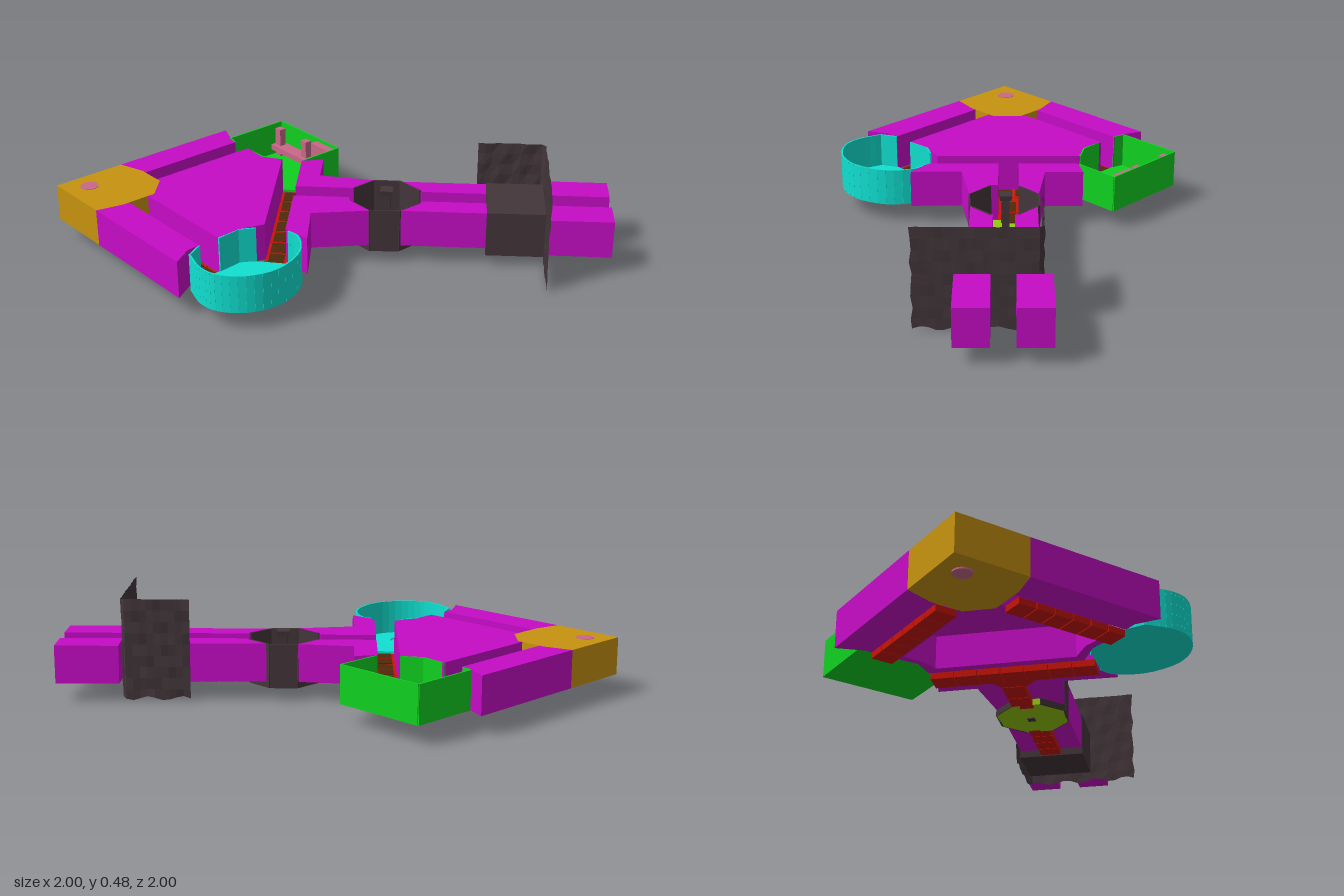
import * as THREE from 'three';

const LOW = 0.09, TOP = 0.27;
const mat = (color) => new THREE.MeshStandardMaterial({ color, flatShading: true, side: THREE.DoubleSide });
const M = {
  magenta: mat(0xc60cc6), gold: mat(0xc79210), green: mat(0x10d020), cyan: mat(0x10e0d0), lime: mat(0x96c810),
  red: mat(0xc81408), brown: mat(0x4f2a08), pink: mat(0xc8688a), dark: mat(0x43363a),
};

function add(parent, name, geometry, material) {
  const mesh = new THREE.Mesh(geometry, material);
  mesh.name = name;
  parent.add(mesh);
  return mesh;
}

// Upright prism from a floor-plan outline of [x, z] points
function prism(parent, name, pts, y0, y1, material, hole) {
  const plan = (list) => list.map(([x, z]) => new THREE.Vector2(x, -z));
  const shape = new THREE.Shape(plan(pts));
  if (hole) shape.holes.push(new THREE.Path(plan(hole)));
  const geo = new THREE.ExtrudeGeometry(shape, { depth: y1 - y0, bevelEnabled: false });
  geo.rotateX(-Math.PI / 2).translate(0, y0, 0);
  return add(parent, name, geo, material);
}

function box(parent, name, x0, x1, y0, y1, z0, z1, material) {
  const geo = new THREE.BoxGeometry(x1 - x0, y1 - y0, z1 - z0);
  geo.translate((x0 + x1) / 2, (y0 + y1) / 2, (z0 + z1) / 2);
  return add(parent, name, geo, material);
}

// Thin upright wall along a floor-plan polyline
function wall(parent, name, pts, y0, y1, material) {
  const group = new THREE.Group();
  group.name = name;
  for (let i = 0; i + 1 < pts.length; i++) {
    const [ax, az] = pts[i], [bx, bz] = pts[i + 1];
    const geo = new THREE.BoxGeometry(Math.hypot(bx - ax, bz - az), y1 - y0, 0.008);
    geo.rotateY(-Math.atan2(bz - az, bx - ax));
    geo.translate((ax + bx) / 2, (y0 + y1) / 2, (az + bz) / 2);
    add(group, name + 'Panel', geo, material);
  }
  parent.add(group);
}

// Row of framed floor tiles running from a to b
function tileRow(parent, name, a, b, count) {
  const row = new THREE.Group();
  row.name = name;
  const len = Math.hypot(b[0] - a[0], b[1] - a[1]), step = len / count;
  row.position.set(a[0], 0, a[1]);
  row.rotation.y = -Math.atan2(b[1] - a[1], b[0] - a[0]);
  for (let i = 0; i < count; i++) {
    const x = i * step;
    box(row, 'tileFrame', x + 0.002, x + step - 0.002, 0.06, LOW, -0.05, 0.05, M.red);
    box(row, 'tileInset', x + 0.01, x + step - 0.01, LOW - 0.01, LOW + 0.003, -0.036, 0.036, M.brown);
  }
  parent.add(row);
}

export function createModel() {
  const model = new THREE.Group();
  model.name = 'floorPlanModel';

  // Central platform: rim open below, closed by a thin top plate
  const centre = [[-0.745, 0.05], [-0.62, 0.06], [-0.53, 0], [-0.03, 0.5], [-0.07, 0.62], [-0.06, 0.735],
    [-0.62, 0.735], [-0.62, 0.7], [-0.72, 0.6], [-0.745, 0.6]];
  const cavity = [[-0.71, 0.09], [-0.6, 0.09], [-0.53, 0.06], [-0.08, 0.51], [-0.11, 0.62], [-0.1, 0.7],
    [-0.58, 0.7], [-0.59, 0.68], [-0.69, 0.57], [-0.71, 0.57]];
  prism(model, 'platformRim', centre, LOW, TOP, M.magenta, cavity);
  prism(model, 'platformTop', cavity, TOP - 0.02, TOP, M.magenta);

  // Bars outside the channels
  prism(model, 'sideBar', [[-1, 0], [-0.88, 0.05], [-0.845, 0.05], [-0.845, 0.6], [-0.87, 0.6], [-1, 0.64]], LOW, TOP, M.magenta);
  prism(model, 'frontBar', [[-0.65, 1], [-0.62, 0.87], [-0.62, 0.84], [-0.06, 0.84], [-0.06, 0.9], [0, 1]], LOW, TOP, M.magenta);
  prism(model, 'backShoulder', [[-0.45, -0.06], [-0.39, -0.15], [-0.26, -0.02], [-0.05, -0.18], [-0.05, -0.05],
    [-0.245, 0.145]], LOW, TOP, M.magenta);
  prism(model, 'sideShoulder', [[0.01, 0.03], [-0.175, 0.215], [0.06, 0.45], [0.1, 0.455], [0.2, 0.44], [0.02, 0.27],
    [0.18, 0.05], [0.04, 0.05]], LOW, TOP, M.magenta);

  // Channel floors
  tileRow(model, 'sideTiles', [-0.795, 0.05], [-0.795, 0.6], 6);
  tileRow(model, 'frontTiles', [-0.6, 0.787], [-0.06, 0.787], 6);
  tileRow(model, 'diagonalTiles', [-0.49, -0.03], [0.04, 0.5], 7);
  tileRow(model, 'branchTiles', [-0.17, 0.14], [0.01, -0.04], 2);
  prism(model, 'junctionTile', [[-0.28, 0.12], [-0.13, 0.09], [-0.12, 0.28]], 0.062, LOW - 0.002, M.red);

  // Corner block with a round pin
  prism(model, 'cornerBlock', [[-1, 1], [-1, 0.64], [-0.87, 0.6], [-0.72, 0.6], [-0.62, 0.7], [-0.62, 0.87], [-0.65, 1]],
    LOW, TOP, M.gold);
  const pin = add(model, 'cornerPin', new THREE.CylinderGeometry(0.043, 0.043, 0.19, 20), M.pink);
  pin.position.set(-0.893, 0.177, 0.885);

  // Open square room with fittings along its back wall
  const room = [[-0.745, 0.055], [-0.62, 0.055], [-0.53, 0], [-0.45, -0.07], [-0.45, -0.295], [-0.905, -0.295],
    [-0.905, 0.04], [-0.845, 0.055]];
  prism(model, 'squareRoomFloor', room, LOW, LOW + 0.012, M.green);
  wall(model, 'squareRoomWall', room.slice(3), LOW, TOP, M.green);
  wall(model, 'squareRoomInnerWall', room.slice(0, 3), LOW, TOP, M.green);
  box(model, 'bench', -0.9, -0.63, 0.13, 0.16, -0.288, -0.22, M.pink);
  for (const x of [-0.87, -0.66]) {
    box(model, 'benchPost', x - 0.02, x + 0.02, 0.1, 0.25, -0.275, -0.24, M.pink);
  }
  box(model, 'cabinet', -0.61, -0.46, 0.15, 0.18, -0.292, -0.21, M.pink);
  box(model, 'cabinetBack', -0.61, -0.46, 0.18, 0.255, -0.292, -0.25, M.pink);

  // Open rounded room
  const curve = new THREE.CatmullRomCurve3([[0.09, 0.46], [0.15, 0.455], [0.27, 0.54], [0.33, 0.71], [0.29, 0.85],
    [0.19, 0.94], [0.1, 0.953], [-0.02, 0.92]].map(([x, z]) => new THREE.Vector3(x, 0, z)));
  const arc = curve.getPoints(28).map((p) => [p.x, p.z]);
  prism(model, 'roundRoomFloor', [...arc, [-0.06, 0.84], [-0.06, 0.735], [-0.07, 0.62], [-0.02, 0.55]], LOW, LOW + 0.012, M.cyan);
  wall(model, 'roundRoomWall', [...arc, [-0.06, 0.84]], LOW, TOP, M.cyan);
  wall(model, 'roundRoomInnerWall', [[-0.06, 0.735], [-0.07, 0.62], [-0.03, 0.55]], LOW, TOP, M.cyan);
  const ring = add(model, 'floorRing', new THREE.TorusGeometry(0.07, 0.008, 6, 24, 5.4).rotateX(-Math.PI / 2), M.cyan);
  ring.position.set(0.12, LOW + 0.012, 0.73);

  // Octagonal hub with a centre post
  const oct = [[0.04, 0.05], [0.18, 0.05], [0.27, -0.05], [0.27, -0.18], [0.18, -0.27], [0.04, -0.27], [-0.05, -0.18], [-0.05, -0.05]];
  prism(model, 'hubFloor', oct, 0.06, LOW, M.lime);
  wall(model, 'hubWall', oct.slice(0, 4), 0.06, TOP, M.dark);
  wall(model, 'hubWall', oct.slice(4), 0.06, TOP, M.dark);
  const post = add(model, 'hubPost', new THREE.CylinderGeometry(0.025, 0.025, 0.22, 4), M.dark);
  post.position.set(0.108, 0.165, -0.12);
  const cap = add(model, 'hubPostCap', new THREE.CylinderGeometry(0.042, 0.036, 0.025, 4), M.dark);
  cap.position.set(0.108, 0.288, -0.12);

  // Arm: local x runs along it, local z across it
  const arm = new THREE.Group();
  arm.name = 'arm';
  arm.rotation.y = Math.PI / 4;
  model.add(arm);
  for (const k of [1, -1]) {
    prism(arm, 'armRail', [[0.235, 0.155], [0.325, 0.068], [0.325, 0.05], [0.89, 0.05], [0.89, 0.155]].map(([s, t]) => [s, k * t]),
      LOW, TOP, M.magenta);
    box(arm, 'endProng', 0.912, 1.208, LOW, TOP, k * 0.13 - 0.077, k * 0.13 + 0.077, M.magenta);
  }
  tileRow(arm, 'armTiles', [0.3, 0], [0.63, 0], 4);
  box(arm, 'armWrap', 0.63, 0.9, 0.055, TOP + 0.004, -0.16, 0.16, M.dark);

  // Crumpled sheet draped along one side of the arm and across its end
  const sheet = new THREE.PlaneGeometry(1, 1, 26, 9);
  const pos = sheet.attributes.position;
  const side = 0.318, total = side + 0.55;
  for (let i = 0; i < pos.count; i++) {
    const u = (pos.getX(i) + 0.5) * total, v = pos.getY(i) + 0.5;
    const bump = 0.006 * Math.sin(u * 47 + v * 9) * Math.cos(v * 17 - u * 21);
    const edge = v < 0.05 ? 0.01 * (1 + Math.sin(u * 40)) : 0;
    const y = v * 0.48 + edge;
    if (u < side) pos.setXYZ(i, 0.587 + u, y, -0.168 + bump);
    else pos.setXYZ(i, 0.904 + bump * 0.5, y, -0.165 + (u - side) + 0.01 * Math.sin(v * 21) * (u - side));
  }
  sheet.computeVertexNormals();
  add(arm, 'drapedSheet', sheet, M.dark);

  return model;
}
